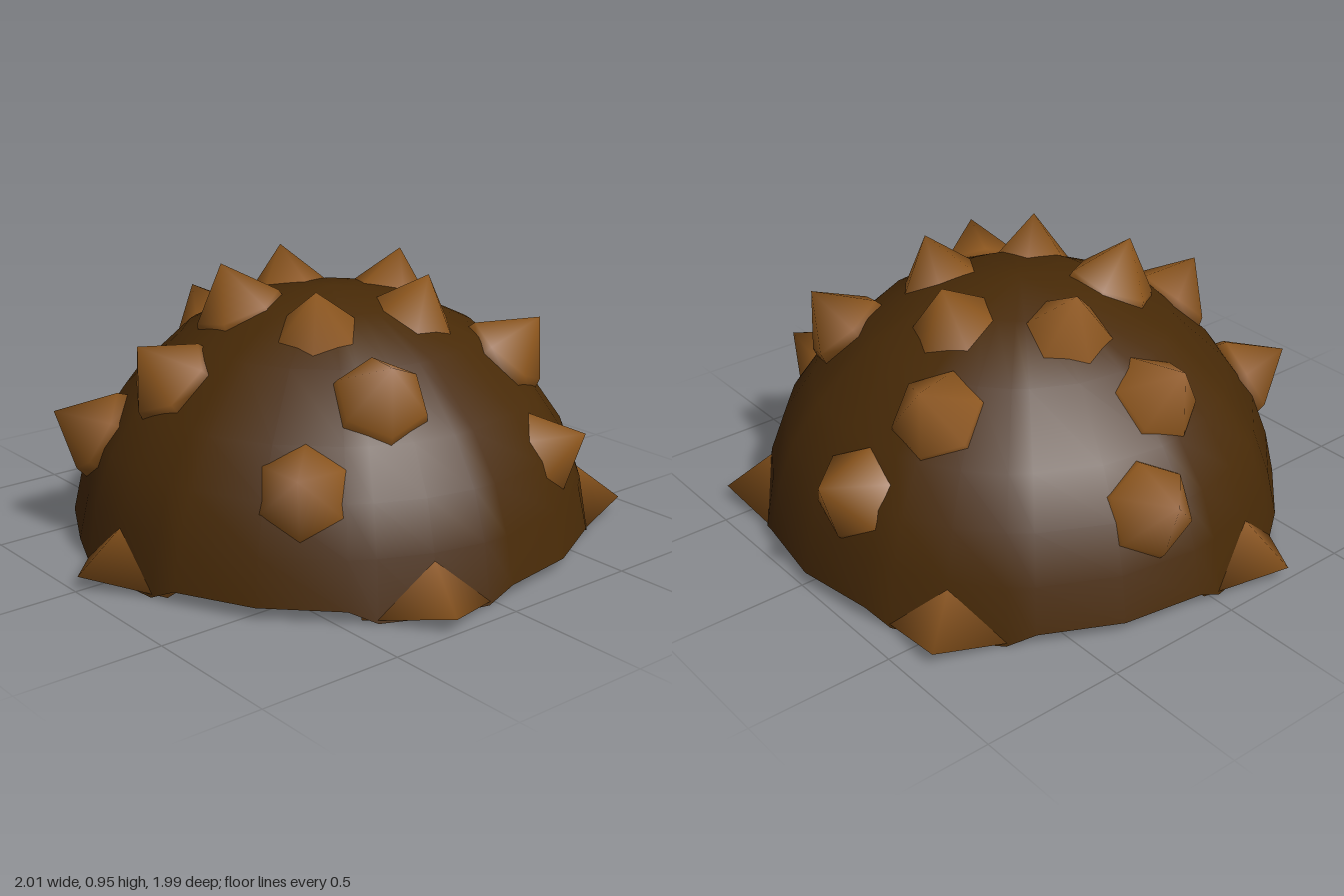
import * as THREE from 'three';
import { mergeVertices } from 'three/addons/utils/BufferGeometryUtils.js';

export function createModel() {
  const model = new THREE.Group();
  model.name = 'spikedShell';
  const shellBrown = new THREE.MeshStandardMaterial({ color: 0x482a07 });
  shellBrown.name = 'darkBrown';
  const spikeBrown = new THREE.MeshStandardMaterial({ color: 0x8b551d });
  spikeBrown.name = 'lightBrown';

  const CZ = -0.065; // depth of the dome axis
  const RIM = 0.052;
  const SECTOR = Math.PI * 2 / 5;
  const SECTOR_STEPS = [0, 12, 18, 36, 54, 60]; // degrees of the edges in each fifth

  // Revolve a profile, with welded smooth normals
  function revolve(profile, segments) {
    const geo = new THREE.LatheGeometry(profile.map(([x, y]) => new THREE.Vector2(x, y)), segments);
    geo.deleteAttribute('uv');
    geo.deleteAttribute('normal');
    return mergeVertices(geo, 1e-4);
  }

  // Dome walls: the rim dips under each of the five lowest spikes
  function addWall(name, profile) {
    const geo = revolve(profile, 30);
    const pos = geo.attributes.position;
    for (let i = 0; i < pos.count; i++) {
      const x = pos.getX(i), z = pos.getZ(i), r = Math.hypot(x, z);
      const step = (Math.round(Math.atan2(x, z) / (Math.PI / 15)) + 30) % 30;
      const inSector = step % 6;
      const angle = Math.floor(step / 6) * SECTOR + THREE.MathUtils.degToRad(SECTOR_STEPS[inSector]);
      const dips = pos.getY(i) < RIM + 0.001 && (inSector <= 1 || inSector === 5);
      pos.setXYZ(i, r * Math.sin(angle), dips ? 0.008 : pos.getY(i), r * Math.cos(angle));
    }
    geo.computeVertexNormals();
    const mesh = new THREE.Mesh(geo, shellBrown);
    mesh.name = name;
    mesh.position.z = CZ;
    model.add(mesh);
  }
  addWall('outerDome', [[0.92, RIM], [0.885, 0.21], [0.825, 0.37], [0.72, 0.52],
    [0.52, 0.71], [0.28, 0.825], [0, 0.865]]);
  addWall('innerDome', [[0, 0.825], [0.265, 0.785], [0.495, 0.675], [0.69, 0.495],
    [0.785, 0.355], [0.825, 0.2], [0.82, RIM]]);
  addWall('rim', [[0.82, RIM], [0.92, RIM]]);

  function addSpike(name, geo) {
    geo.computeVertexNormals();
    const mesh = new THREE.Mesh(geo, spikeBrown);
    mesh.name = name;
    model.add(mesh);
  }

  // Rim spikes: wide three-sided points, cut level just above the ground
  for (let i = 0; i < 5; i++) {
    const a = i * SECTOR;
    const geo = revolve([[0, -0.24], [0.25, -0.24], [0.27, -0.19], [0, 0]], 3);
    geo.rotateY(Math.PI);
    geo.rotateX(Math.PI / 2);
    geo.scale(1, 0.54, 1);
    geo.rotateY(a);
    geo.translate(1.055 * Math.sin(a), 0.058, CZ + 1.055 * Math.cos(a));
    const pos = geo.attributes.position;
    for (let j = 0; j < pos.count; j++) pos.setY(j, Math.max(pos.getY(j), 0.012));
    addSpike('rimSpike', geo);
  }

  // Dome spikes: six-sided points whose bases show inside, tips listed ring by ring
  const rings = {
    lowerSpike: [[-0.15, 0.46, -1.0], [-0.95, 0.46, -0.21], [0.83, 0.45, -0.48],
      [-0.44, 0.47, 0.8], [0.65, 0.48, 0.6]],
    upperSpike: [[-0.1, 0.75, 0.67], [0.66, 0.77, 0.23], [0.51, 0.77, -0.58],
      [-0.3, 0.76, -0.71], [-0.71, 0.75, 0.03]],
    topSpike: [[-0.37, 0.94, -0.13], [-0.05, 0.94, -0.43], [0.33, 0.94, -0.22],
      [0.26, 0.93, 0.21], [-0.17, 0.96, 0.28]],
  };
  for (const [name, tips] of Object.entries(rings)) {
    for (const [x, y, z] of tips) {
      const geo = revolve([[0, -0.23], [0.17, -0.23], [0.152, -0.165], [0, 0]], 6);
      geo.rotateX(Math.atan2(Math.hypot(x, z - CZ), y + 0.08));
      geo.rotateY(Math.atan2(x, z - CZ));
      geo.translate(x, y, z);
      addSpike(name, geo);
    }
  }
  return model;
}
